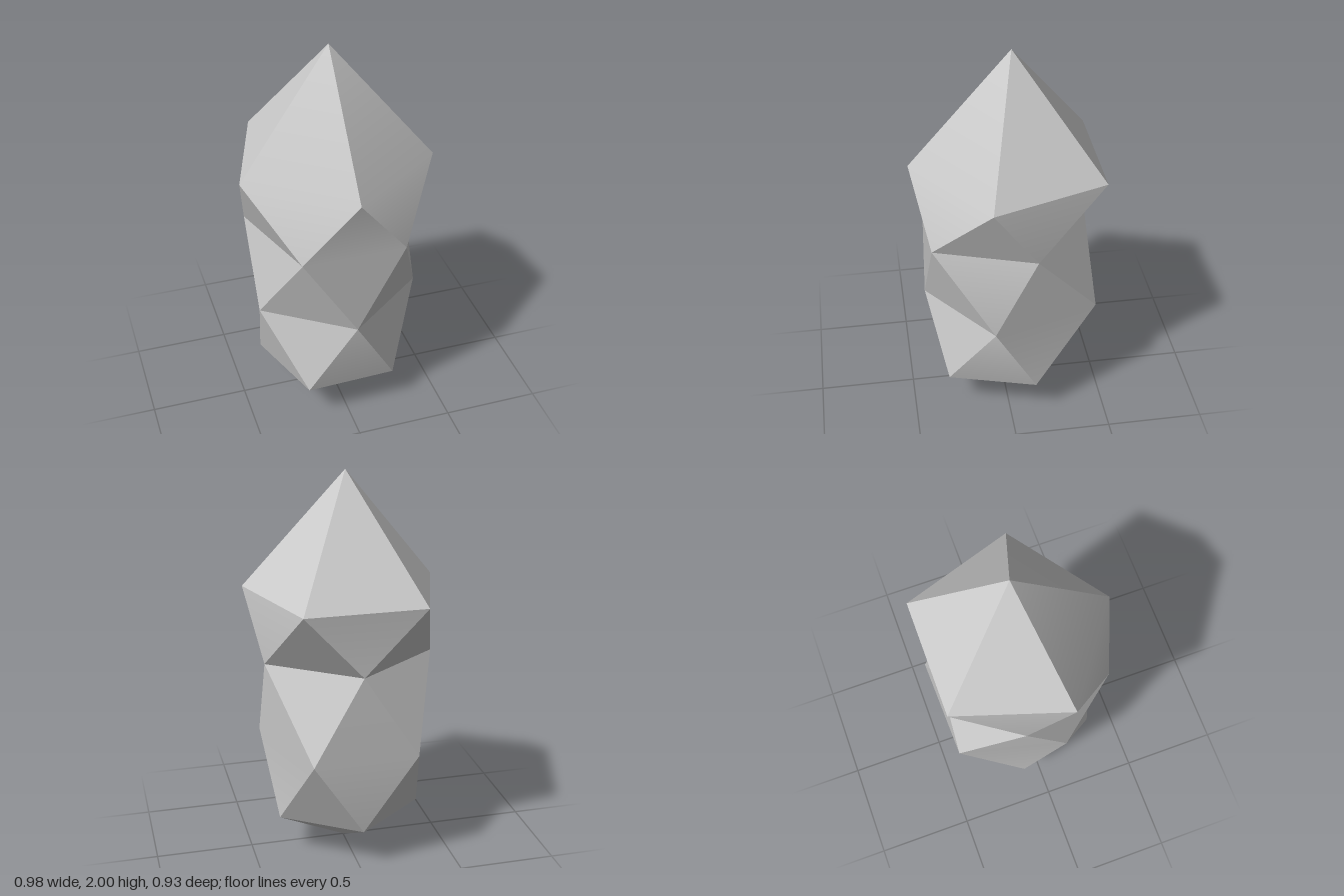
import * as THREE from 'three';
import { toCreasedNormals } from 'three/addons/utils/BufferGeometryUtils.js';

const N = 5;

// Five-sided ring, mirrored in x and twisted a little about the vertical axis.
// half lists the corners from front to back on the +x side as [x, z].
function ring(y, half, twist = 0) {
  const mirrored = half.filter(([x]) => x > 0).reverse().map(([x, z]) => [-x, z]);
  return [...half, ...mirrored].map(([x, z]) =>
    new THREE.Vector3(x, y, z).applyAxisAngle(new THREE.Vector3(0, 1, 0), twist));
}

export function createModel() {
  // Cross-sections: two with a corner in front, two with a corner at the back
  const shoulder = ring(1.407, [[0, 0.466], [0.492, 0.111], [0.304, -0.466]]);
  const waist = ring(1.068, [[0.265, 0.386], [0.428, -0.116], [0, -0.423]]);
  const hip = ring(0.633, [[0, 0.413], [0.424, 0.105], [0.268, -0.444]], 0.025);
  const foot = ring(0.215, [[0.233, 0.325], [0.372, -0.116], [0, -0.386]], 0.03);
  const tip = new THREE.Vector3(0, 2, -0.043);
  const base = new THREE.Vector3(0, 0, 0);

  const corners = [];
  // Zigzag band of triangles; shift is the lower corner lying below upper edge i
  const band = (upper, lower, shift) => {
    for (let i = 0; i < N; i++) {
      const j = (i + 1) % N, a = (i + shift) % N, b = (a + 1) % N;
      corners.push(upper[i], lower[a], upper[j]);
      corners.push(lower[a], lower[b], upper[j]);
    }
  };

  // Pointed top and bottom
  for (let i = 0; i < N; i++) {
    const j = (i + 1) % N;
    corners.push(tip, shoulder[i], shoulder[j]);
    corners.push(base, foot[j], foot[i]);
  }
  // Body between the cross-sections
  band(shoulder, waist, 0);
  band(waist, hip, 1);
  band(hip, foot, 0);

  const geometry = toCreasedNormals(
    new THREE.BufferGeometry().setFromPoints(corners), THREE.MathUtils.degToRad(24));
  const crystal = new THREE.Mesh(geometry, new THREE.MeshStandardMaterial({ color: 0xcccccc }));
  crystal.name = 'crystal';

  const group = new THREE.Group();
  group.name = 'facetedCrystal';
  group.add(crystal);
  return group;
}
